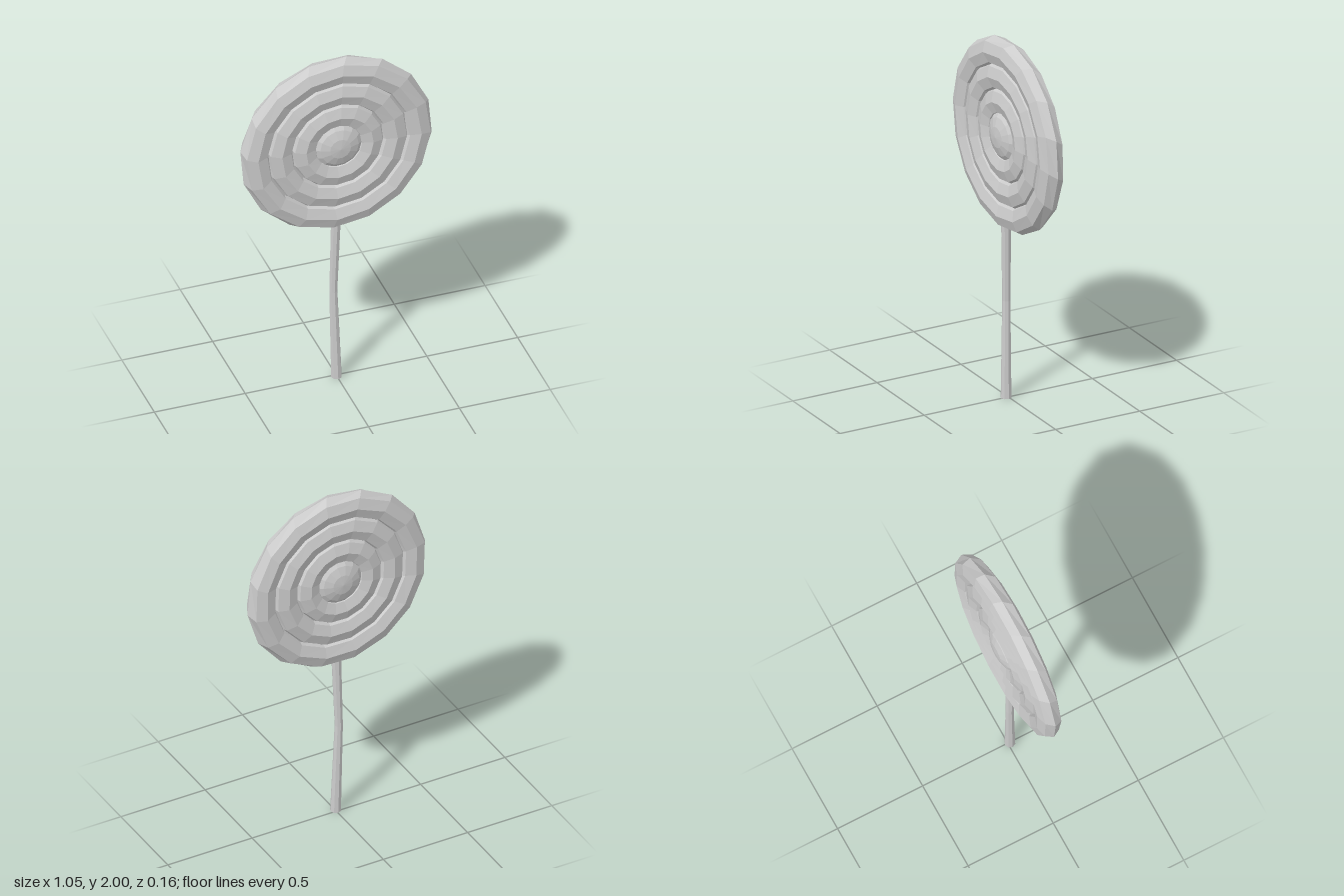
import * as THREE from 'three';

const material = new THREE.MeshStandardMaterial({ color: 0xcccccc, flatShading: true });
const CENTRE_Y = 1.473;

function part(name, geometry) {
  geometry.computeVertexNormals();
  const mesh = new THREE.Mesh(geometry, material);
  mesh.name = name;
  return mesh;
}

// Low-poly candy ring, flattened in depth and twisted slightly from back to front
function candyRing(name, radius) {
  const g = new THREE.TorusGeometry(radius, 0.08, 8, 16);
  g.scale(1, 1, 0.8);
  const p = g.attributes.position;
  for (let i = 0; i < p.count; i++) {
    const x = p.getX(i), y = p.getY(i), z = p.getZ(i);
    const a = Math.atan2(y, x) - 0.11 + 1.2 * z;
    const r = Math.hypot(x, y);
    p.setXYZ(i, r * Math.cos(a), r * Math.sin(a), z);
  }
  return part(name, g);
}

// Slightly bent stick, thinner at the middle
function stick() {
  const height = 1.08;
  const g = new THREE.CylinderGeometry(0.028, 0.029, height, 8, 2);
  g.translate(0, height / 2, 0);
  const p = g.attributes.position;
  for (let i = 0; i < p.count; i++) {
    const bend = 1 - Math.abs(p.getY(i) / height * 2 - 1);
    const s = 1 - 0.22 * bend;
    p.setX(i, p.getX(i) * s - 0.002 - 0.014 * bend);
    p.setZ(i, p.getZ(i) * s + 0.012 - 0.009 * bend);
  }
  return part('stick', g);
}

export function createModel() {
  const model = new THREE.Group();
  model.name = 'lollipop';

  // Candy head: three nested rings around a flattened ball
  const head = new THREE.Group();
  head.name = 'candyHead';
  head.position.y = CENTRE_Y;
  head.add(candyRing('outerRing', 0.45));
  head.add(candyRing('middleRing', 0.318));
  head.add(candyRing('innerRing', 0.185));

  const ball = new THREE.SphereGeometry(0.15, 14, 8);
  ball.rotateX(Math.PI / 2);
  ball.scale(1, 1, 0.52);
  head.add(part('centreBall', ball));

  model.add(head, stick());
  return model;
}
